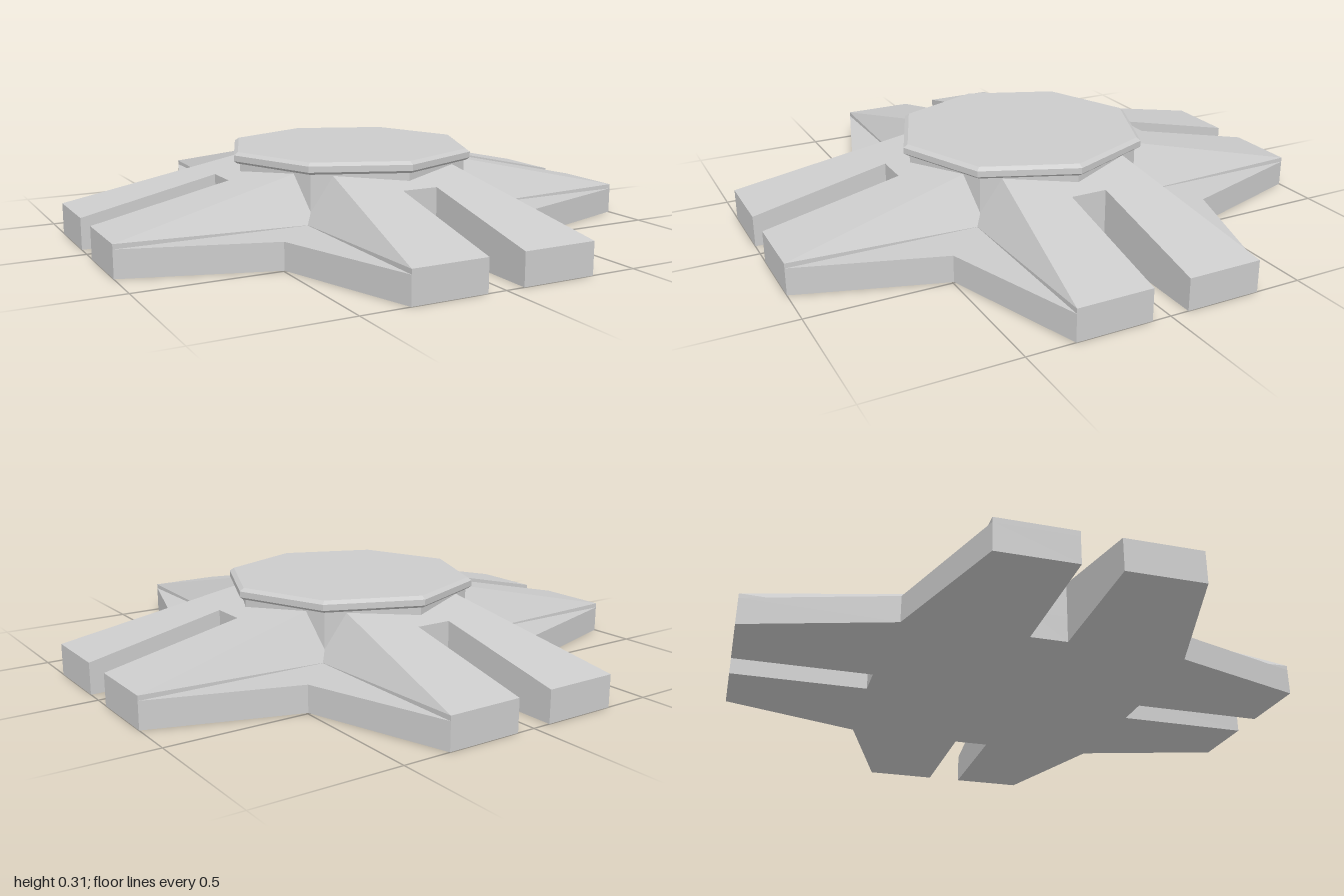
import * as THREE from 'three';

const BASE = 0.095, TIP = 0.112, HALF = 0.333, SLOT = 0.066, SLOT_END = 0.51;
const INNER = 0.3, INNER_TOP = 0.267;
const mat = new THREE.MeshStandardMaterial({ color: 0xcccccc, flatShading: true, side: THREE.DoubleSide });

// Height of an arm's sloping top at distance z from the middle
const slope = z => TIP + (INNER_TOP - TIP) * (1 - z) / (1 - INNER);

function add(parent, name, geometry) {
  const mesh = new THREE.Mesh(geometry, mat);
  mesh.name = name;
  parent.add(mesh);
  return mesh;
}

// Solid between two four-cornered sections, open underneath; sign mirrors it in x
function block(outer, zOuter, inner, zInner, sign = 1) {
  const pos = [
    ...outer.flatMap(([x, y]) => [x * sign, y, zOuter]),
    ...inner.flatMap(([x, y]) => [x * sign, y, zInner]),
  ];
  const index = [
    0, 1, 2, 0, 2, 3, // end
    1, 5, 2, 5, 6, 2, // flank
    3, 2, 6, 3, 6, 7, // top
    4, 0, 3, 4, 3, 7, // slot side
    5, 4, 7, 5, 7, 6, // inner end
  ];
  if (sign < 0) index.reverse();
  const g = new THREE.BufferGeometry();
  g.setAttribute('position', new THREE.Float32BufferAttribute(pos, 3));
  g.setIndex(index);
  const flat = g.toNonIndexed();
  flat.computeVertexNormals();
  return flat;
}

export function createModel() {
  const model = new THREE.Group();
  model.name = 'hub';

  // Cross-shaped base plate with a slot in each arm and a notch at each corner
  const quarter = [[-HALF, 1], [-SLOT, 1], [-SLOT, SLOT_END], [SLOT, SLOT_END], [SLOT, 1], [HALF, 1], [0.495, 0.495]];
  const outline = [];
  for (let i = 0; i < 4; i++) {
    const c = Math.round(Math.cos(i * Math.PI / 2)), s = Math.round(Math.sin(i * Math.PI / 2));
    for (const [x, y] of quarter) outline.push(new THREE.Vector2(x * c + y * s, y * c - x * s));
  }
  const plate = new THREE.ExtrudeGeometry(new THREE.Shape(outline), { depth: BASE, bevelEnabled: false });
  plate.rotateX(-Math.PI / 2);
  add(model, 'basePlate', plate);

  // Four sloping arms, each two mirrored prongs joined by a bridge
  for (let i = 0; i < 4; i++) {
    const arm = new THREE.Group();
    arm.name = 'arm';
    const tip = [[SLOT, BASE], [HALF, BASE], [HALF, TIP], [SLOT, TIP]];
    const root = [[SLOT, BASE], [HALF, BASE], [0.235, INNER_TOP], [SLOT, INNER_TOP]];
    for (const sign of [-1, 1]) add(arm, 'prong', block(tip, 1, root, INNER, sign));
    const section = top => [[-SLOT, BASE], [SLOT, BASE], [SLOT, top], [-SLOT, top]];
    add(arm, 'bridge', block(section(slope(SLOT_END)), SLOT_END, section(INNER_TOP), INNER));
    arm.rotation.y = i * Math.PI / 2;
    model.add(arm);
  }

  // Eight-sided column and bevelled cap
  const column = add(model, 'column', new THREE.CylinderGeometry(0.44, 0.44, 0.18, 8, 1, true));
  column.position.y = 0.18;
  const profile = [[0, 0.265], [0.45, 0.265], [0.462, 0.274], [0.462, 0.295], [0.446, 0.306], [0, 0.306]];
  add(model, 'cap', new THREE.LatheGeometry(profile.map(([x, y]) => new THREE.Vector2(x, y)), 8));

  return model;
}
